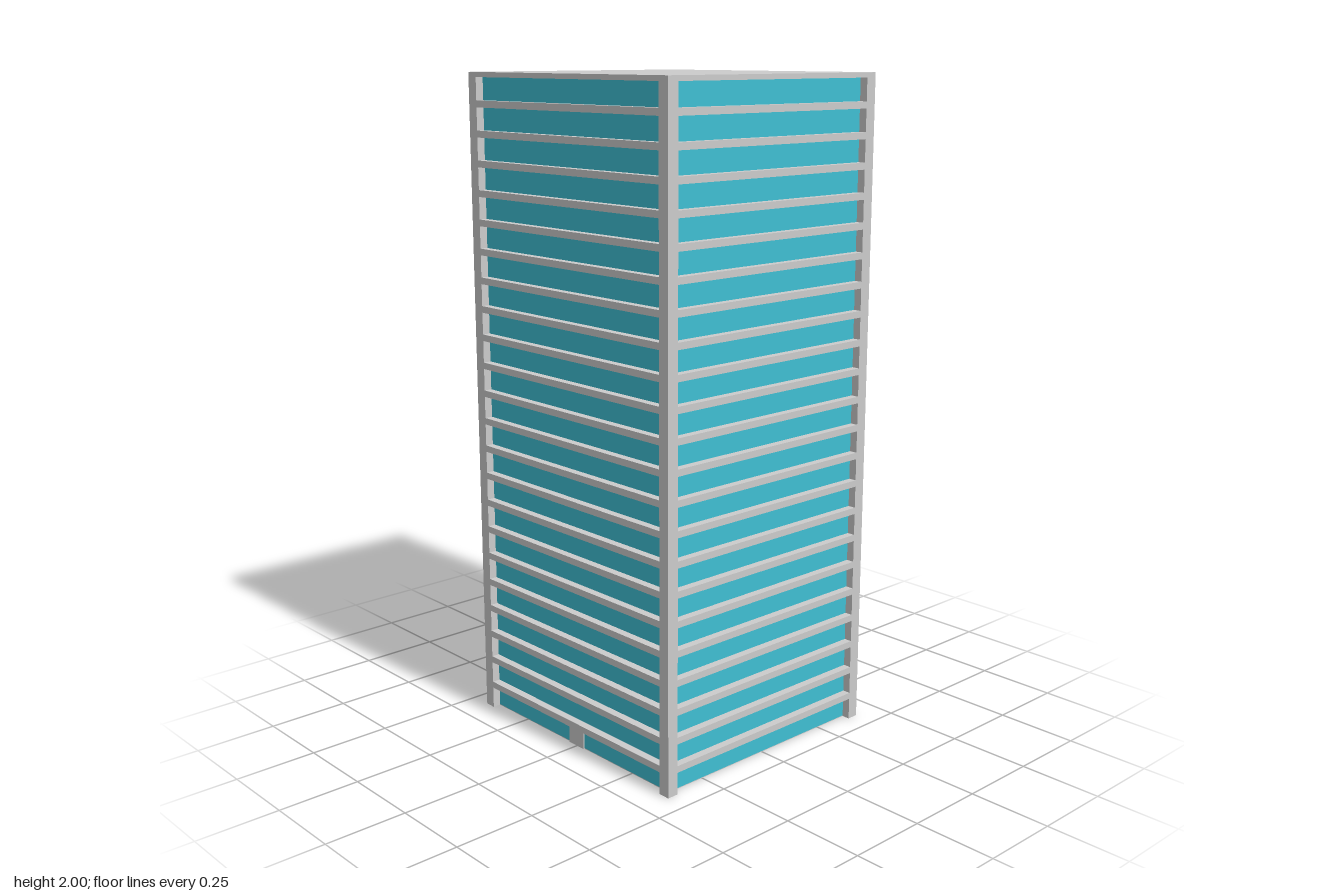
import * as THREE from 'three';

const W = 0.868, D = 0.812, H = 2;   // overall size
const POST = 0.036;                  // corner post width
const INSET = 0.025;                 // how far the glass sits behind the frame
const FLOORS = 23, PITCH = 0.0872, GLASS_H = 0.067;

export function createModel() {
  const group = new THREE.Group();
  const grey = new THREE.MeshStandardMaterial({ color: 0xcccccc });
  const blue = new THREE.MeshStandardMaterial({ color: 0x3fbfd3 });

  // Box standing on height y
  const box = (name, material, w, h, d, x, y, z) => {
    const mesh = new THREE.Mesh(new THREE.BoxGeometry(w, h, d), material);
    mesh.name = name;
    mesh.position.set(x, y + h / 2, z);
    group.add(mesh);
  };

  const roofY = (FLOORS - 1) * PITCH + GLASS_H;
  const coreW = W - 2 * INSET, coreD = D - 2 * INSET;

  // Base, recessed glass core and roof
  box('base', grey, coreW, 0.002, coreD, 0, 0, 0);
  box('glassCore', blue, coreW, roofY - 0.002, coreD, 0, 0.002, 0);
  box('roof', grey, W, H - roofY, D, 0, roofY, 0);

  // Corner posts
  for (const sx of [-1, 1]) {
    for (const sz of [-1, 1]) {
      box('cornerPost', grey, POST, roofY, POST, sx * (W - POST) / 2, 0, sz * (D - POST) / 2);
    }
  }

  // Floor bands between the posts: one spans front to back, one side to side
  for (let i = 0; i < FLOORS - 1; i++) {
    const y = i * PITCH + GLASS_H;
    box('floorBandFrontBack', grey, W - 2 * POST, PITCH - GLASS_H, D, 0, y, 0);
    box('floorBandSides', grey, W, PITCH - GLASS_H, D - 2 * POST, 0, y, 0);
  }

  // Entrance door on the ground floor
  box('door', grey, 0.068, GLASS_H, 0.008, -0.002, 0, coreD / 2);

  return group;
}
